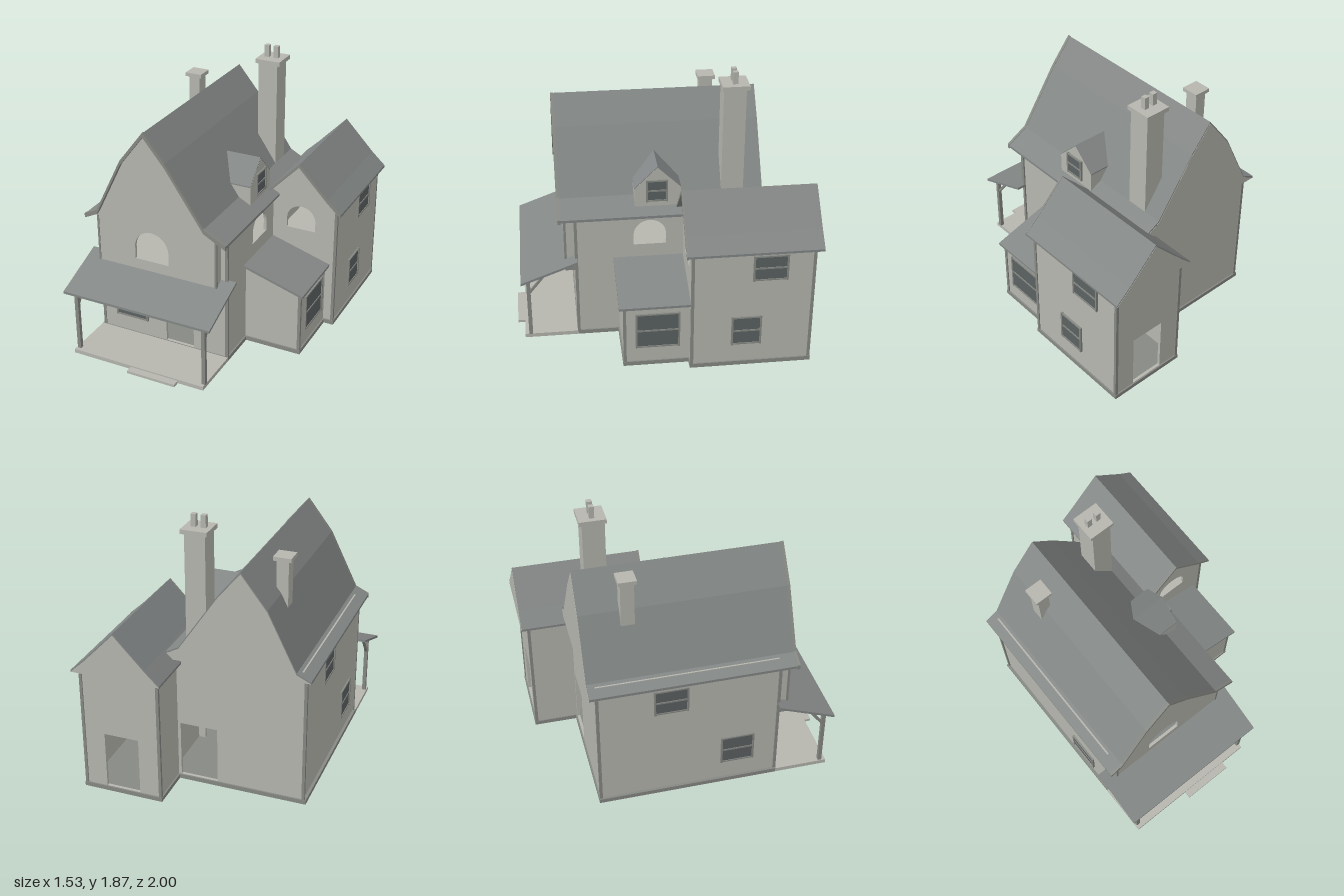
import * as THREE from 'three';

const material = (name, color) => {
  const m = new THREE.MeshStandardMaterial({ color });
  m.name = name;
  return m;
};

export function createModel() {
  const model = new THREE.Group();
  model.name = 'house';
  const wall = material('plaster', 0xb6b6af);
  const roof = material('roofTiles', 0x838786);
  const trim = material('trim', 0x878984);
  const glass = material('glass', 0x5b6162);

  const add = (name, geo, mat, parent = model) => {
    const mesh = new THREE.Mesh(geo, mat);
    mesh.name = name;
    parent.add(mesh);
    return mesh;
  };
  // Box given by its limits on each axis
  const box = (name, mat, x0, x1, y0, y1, z0, z1, parent) => {
    const geo = new THREE.BoxGeometry(x1 - x0, y1 - y0, z1 - z0);
    geo.translate((x0 + x1) / 2, (y0 + y1) / 2, (z0 + z1) / 2);
    return add(name, geo, mat, parent);
  };
  const polygon = (pts) => new THREE.Shape(pts.map(([x, y]) => new THREE.Vector2(x, y)));
  const rect = (x0, x1, y0, y1) => polygon([[x0, y0], [x1, y0], [x1, y1], [x0, y1]]);
  const arch = (x0, x1, y0, y1) => {
    const r = (x1 - x0) / 2;
    const s = new THREE.Shape();
    s.moveTo(x0, y0);
    s.lineTo(x1, y0);
    s.lineTo(x1, y1 - r);
    s.absarc((x0 + x1) / 2, y1 - r, r, 0, Math.PI, false);
    s.closePath();
    return s;
  };
  // Outline in x,y pushed along z
  const alongZ = (name, mat, shape, z0, z1, holes = []) => {
    shape.holes.push(...holes);
    const geo = new THREE.ExtrudeGeometry(shape, { depth: z1 - z0, bevelEnabled: false, curveSegments: 12 });
    geo.translate(0, 0, z0);
    return add(name, geo, mat);
  };
  // Outline in -z,y pushed along x
  const alongX = (name, mat, shape, x0, x1, holes = []) => {
    const mesh = alongZ(name, mat, shape, x0, x1, holes);
    mesh.geometry.rotateY(Math.PI / 2);
    return mesh;
  };
  const lower = (pts, d) => pts.map(([x, y]) => [x, y - d]);
  const shell = (pts, t) => polygon([...pts, ...lower(pts, t).reverse()]);

  // Base slabs and porch floor
  box('mainBase', trim, -0.72, 0.26, 0, 0.03, -0.66, 0.585);
  box('wingBase', trim, 0.17, 0.73, 0, 0.03, -0.96, -0.14);
  box('annexBase', trim, 0.25, 0.66, 0, 0.03, -0.15, 0.3);
  box('porchFloor', wall, -0.72, 0.26, 0, 0.028, 0.58, 0.95);
  box('porchStep', wall, -0.28, 0.075, 0, 0.018, 0.95, 1);

  // Main walls
  alongZ('frontWall', wall, rect(-0.7, 0.25, 0.03, 0.93), 0.56, 0.58,
    [arch(-0.21, 0, 0.031, 0.42), rect(-0.65, 0.19, 0.56, 0.925)]);
  alongZ('backWall', wall, rect(-0.7, 0.25, 0.03, 0.94), -0.65, -0.63, [rect(-0.1, 0.16, 0.031, 0.43)]);
  box('leftWall', wall, -0.7, -0.68, 0.03, 0.94, -0.65, 0.58);
  alongX('rightWall', wall, rect(-0.58, 0.65, 0.03, 0.94), 0.23, 0.25, [arch(-0.185, 0.035, 0.7, 0.885)]);
  box('upperFloor', wall, -0.68, 0.23, 0.58, 0.6, -0.63, 0.56);
  box('wallPlate', wall, -0.682, -0.67, 0.93, 0.975, -0.65, 0.57);

  // Jettied upper front
  alongZ('jettyFront', wall, rect(-0.67, 0.21, 0.53, 0.93), 0.63, 0.65, [arch(-0.39, -0.14, 0.67, 0.885)]);
  box('jettyFloor', wall, -0.67, 0.21, 0.53, 0.56, 0.56, 0.63);
  for (const x of [-0.67, 0.19]) {
    box('jettySide', wall, x, x + 0.02, 0.53, 0.93, 0.57, 0.635);
    box('jettyBracket', trim, x, x + 0.02, 0.5, 0.53, 0.58, 0.65);
  }

  // Rear wing walls
  alongZ('wingFrontWall', wall, rect(0.18, 0.72, 0.03, 0.89), -0.17, -0.15, [arch(0.355, 0.565, 0.7, 0.875)]);
  alongZ('wingBackWall', wall, rect(0.18, 0.72, 0.03, 0.89), -0.95, -0.93, [rect(0.33, 0.57, 0.031, 0.43)]);
  box('wingRightWall', wall, 0.7, 0.72, 0.03, 0.89, -0.95, -0.15);
  box('wingLeftWall', wall, 0.18, 0.2, 0.03, 0.89, -0.95, -0.63);
  box('wingUpperFloor', wall, 0.25, 0.7, 0.58, 0.6, -0.93, -0.17);

  // Side annex with lean-to roof
  alongZ('annexFrontWall', wall, polygon([[0.25, 0.03], [0.65, 0.03], [0.65, 0.462], [0.25, 0.59]]), 0.27, 0.29);
  box('annexRightWall', wall, 0.63, 0.65, 0.03, 0.465, -0.15, 0.28);
  alongZ('annexRoof', roof, shell([[0.22, 0.615], [0.68, 0.475]], 0.017), -0.15, 0.325);

  // Curved main roof over solid gables
  const mainProfile = [[-0.745, 0.94], [-0.65, 0.985], [-0.455, 1.38], [-0.28, 1.607],
    [-0.13, 1.425], [0.14, 1.025], [0.295, 0.94]];
  alongZ('mainRoof', roof, shell(mainProfile, 0.018), -0.7, 0.675);
  alongZ('mainGables', wall, polygon(lower(mainProfile, 0.012)), -0.702, 0.65);
  alongZ('mainBargeboard', trim, shell(mainProfile.map(([x, y]) => [x, y + 0.004]), 0.032), 0.672, 0.692);

  // Wing roof
  const wingProfile = [[0.145, 0.893], [0.24, 0.985], [0.45, 1.205], [0.66, 0.985], [0.76, 0.893]];
  alongZ('wingRoof', roof, shell(wingProfile, 0.016), -0.998, -0.115);
  alongZ('wingGables', wall, polygon(lower(wingProfile, 0.011)), -1, -0.15);
  alongZ('wingBargeboard', trim, shell(wingProfile.map(([x, y]) => [x, y + 0.003]), 0.024), -0.118, -0.106);

  // Dormer
  const dormerTop = [[-0.175, 1.11], [-0.02, 1.262], [0.137, 1.11]];
  alongX('dormerBody', wall, polygon([[-0.172, 0.965], ...dormerTop, [0.134, 0.965]]), -0.03, 0.225);
  alongX('dormerRoof', roof, shell(lower(dormerTop, -0.007), 0.008), -0.03, 0.224);

  // Chimneys
  box('mainChimney', wall, 0, 0.14, 0.9, 1.755, -0.57, -0.42);
  box('mainChimneyCap', wall, -0.02, 0.16, 1.752, 1.782, -0.59, -0.41);
  for (const x of [0.015, 0.082]) box('chimneyPot', wall, x, x + 0.034, 1.78, 1.865, -0.517, -0.483);
  box('smallChimney', wall, -0.5, -0.42, 1.1, 1.605, -0.435, -0.345);
  box('smallChimneyCap', wall, -0.52, -0.4, 1.602, 1.628, -0.45, -0.33);

  // Porch roof, posts and braces
  alongX('porchRoof', roof, shell([[-0.96, 0.478], [-0.57, 0.625]], 0.017), -0.77, 0.315);
  box('porchBeam', trim, -0.72, 0.275, 0.448, 0.472, 0.9, 0.925);
  for (const x of [-0.7, 0.25]) {
    box('porchPost', trim, x - 0.013, x + 0.013, 0.028, 0.45, 0.897, 0.923);
    alongX('porchBrace', trim, polygon([[-0.905, 0.35], [-0.79, 0.495], [-0.78, 0.51], [-0.8, 0.51], [-0.905, 0.378]]),
      x - 0.008, x + 0.008);
  }

  // Corner boards
  const corners = [[-0.7, 0.575, 0.93], [0.25, 0.575, 0.93], [-0.7, -0.647, 0.93],
    [0.647, 0.287, 0.46], [0.717, -0.153, 0.88], [0.717, -0.947, 0.88], [0.183, -0.947, 0.88]];
  for (const [x, z, top] of corners) box('cornerBoard', trim, x - 0.01, x + 0.01, 0.03, top, z - 0.01, z + 0.01);
  for (const x of [-0.667, 0.207]) box('jettyCorner', trim, x - 0.007, x + 0.007, 0.53, 0.93, 0.638, 0.654);

  // Framed sash windows, built facing +z and then turned
  const sash = (name, x, y, z, turn, w, h, rail = true) => {
    const g = new THREE.Group();
    g.name = name;
    const a = w / 2, b = h / 2;
    box('pane', glass, -a, a, -b, b, 0, 0.008, g);
    for (const s of [-1, 1]) {
      box('stile', trim, s * a - 0.006, s * a + 0.006, -b - 0.008, b + 0.008, 0, 0.015, g);
      box('edgeRail', trim, -a, a, s * b - 0.005, s * b + 0.005, 0, 0.013, g);
    }
    if (rail) box('middleRail', trim, -a, a, -0.006, 0.006, 0, 0.012, g);
    g.position.set(x, y, z);
    g.rotation.y = turn;
    model.add(g);
  };
  const R = Math.PI / 2;
  sash('frontWindow', -0.472, 0.262, 0.58, 0, 0.235, 0.22, false);
  sash('annexWindow', 0.65, 0.275, 0.067, R, 0.285, 0.255);
  sash('wingUpperWindow', 0.72, 0.757, -0.66, R, 0.22, 0.175);
  sash('wingLowerWindow', 0.72, 0.277, -0.515, R, 0.19, 0.205);
  sash('dormerWindow', 0.225, 1.095, 0.025, R, 0.135, 0.145);
  sash('leftUpperWindow', -0.7, 0.785, -0.16, -R, 0.22, 0.18);
  sash('leftLowerWindow', -0.7, 0.277, 0.3, -R, 0.22, 0.205);

  return model;
}
